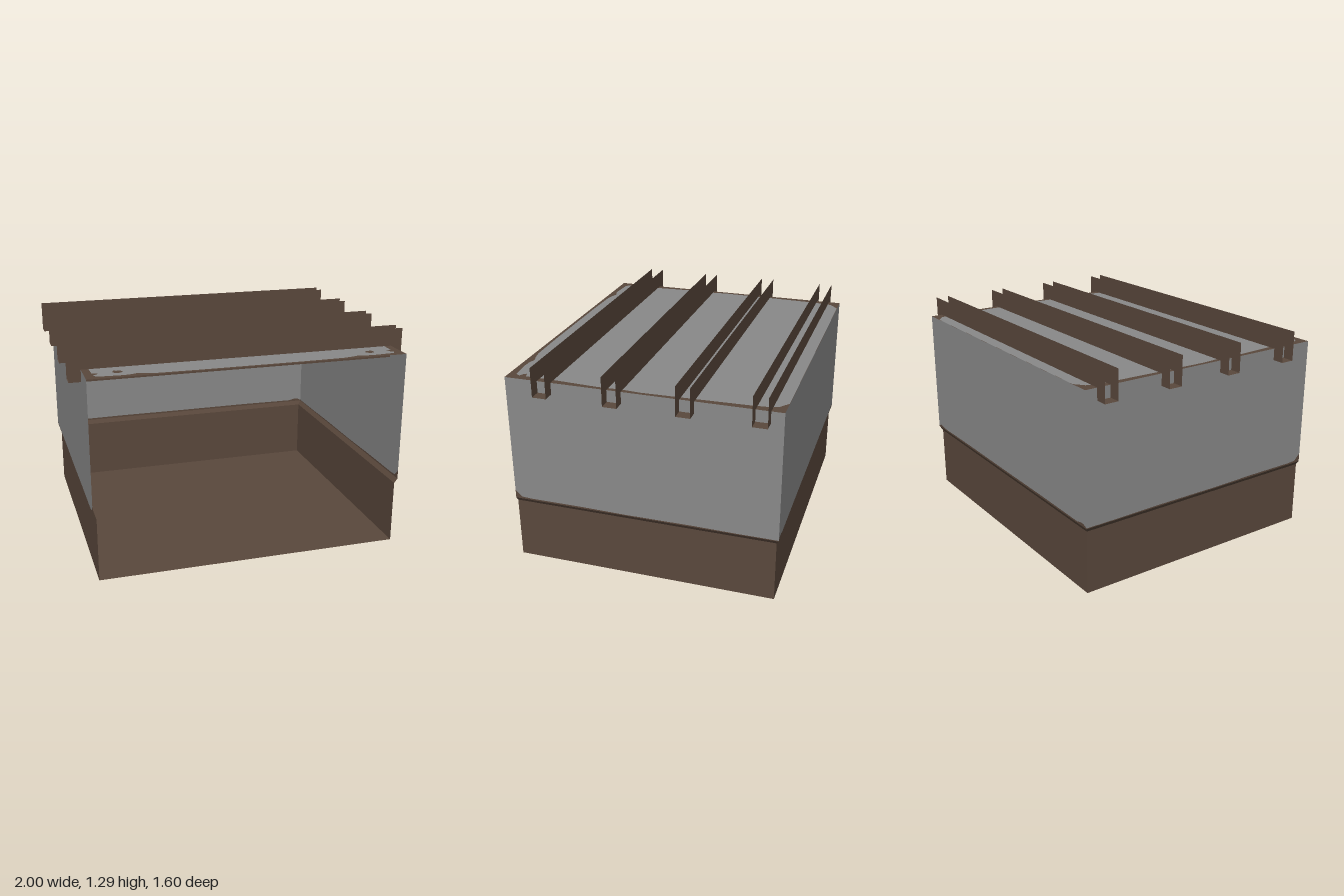
import * as THREE from 'three';

const grey = new THREE.MeshStandardMaterial({ color: 0x898989, side: THREE.DoubleSide });
grey.name = 'plaster grey';
const brown = new THREE.MeshStandardMaterial({ color: 0x5a483c, side: THREE.DoubleSide });
brown.name = 'earth brown';

// Left half of the wall run, front corner to middle of back: [x share, z, wear height]
const halfRun = [
  [1, 0.8, 0.46], [1, 0.785, 0.445], [1, 0.76, 0.42], [1, 0.7, 0.416], [1, 0.4, 0.417],
  [1, 0.1, 0.413], [1, -0.3, 0.415], [1, -0.55, 0.412], [1, -0.8, 0.412],
  [0.97, -0.8, 0.425], [0.94, -0.8, 0.425], [0.9, -0.8, 0.416], [0.5, -0.8, 0.419], [0, -0.8, 0.418],
];
const run = [...halfRun, ...halfRun.slice(0, -1).reverse().map(([u, z, h]) => [-u, z, h])];

// One row of points along the three walls; y = null follows the worn paint edge
const row = (halfX, backZ, y) =>
  run.map(([u, z, h]) => [u * halfX, Math.max(z, backZ), y ?? h]);

// Wall band between two rows
function band(name, lower, upper, material) {
  const pos = [];
  const put = (...pts) => pts.forEach(([x, z, y]) => pos.push(x, y, z));
  for (let i = 0; i < lower.length - 1; i++) {
    put(lower[i], lower[i + 1], upper[i + 1], lower[i], upper[i + 1], upper[i]);
  }
  const geo = new THREE.BufferGeometry();
  geo.setAttribute('position', new THREE.Float32BufferAttribute(pos, 3));
  geo.computeVertexNormals();
  return named(new THREE.Mesh(geo, material), name);
}

function named(object, name) {
  object.name = name;
  return object;
}

// Flat panel lying at height y, from a shape drawn in x and -z
function flat(name, shape, y, material) {
  const geo = new THREE.ShapeGeometry(shape);
  geo.rotateX(-Math.PI / 2);
  geo.translate(0, y, 0);
  return named(new THREE.Mesh(geo, material), name);
}

const outline = (pts) => pts.map(([x, z]) => new THREE.Vector2(x, -z));
const rect = (x, z0, z1) => outline([[-x, z1], [x, z1], [x, z0], [-x, z0]]);

function createModel() {
  const group = named(new THREE.Group(), 'openRoom');
  const roofY = 1.19;

  // Floor and walls, open at the front
  group.add(flat('floor', new THREE.Shape(rect(0.91, -0.785, 0.8)), 0, brown));
  const base = row(0.91, -0.785, 0);
  const baseTop = row(0.91, -0.785, 0.38);
  const ledge = row(0.93, -0.8, 0.407);
  const wear = row(0.93, -0.8, null);
  const top = row(0.93, -0.8, roofY);
  group.add(
    band('lowerWalls', base, baseTop, brown),
    band('wallLedge', baseTop, ledge, brown),
    band('wornWallEdge', ledge, wear, brown),
    band('upperWalls', wear, top, grey),
  );

  // Roof: grey field inside a ragged brown border
  const halfField = [
    [0.3, 0.782], [0.55, 0.777], [0.61, 0.765], [0.65, 0.752], [0.69, 0.765], [0.74, 0.768],
    [0.87, 0.758], [0.885, 0.73], [0.86, 0.715], [0.85, 0.7], [0.885, 0.69], [0.89, 0.5],
    [0.905, 0.25], [0.9, 0.1], [0.908, 0], [0.9, -0.3], [0.89, -0.6], [0.88, -0.72],
    [0.865, -0.755], [0.81, -0.799],
  ];
  const field = outline([...halfField, ...halfField.map(([x, z]) => [-x, z]).reverse()]);
  const spot = (side) => outline([
    [0.725, 0.68], [0.75, 0.675], [0.765, 0.668], [0.772, 0.7], [0.765, 0.715],
    [0.745, 0.722], [0.725, 0.712], [0.715, 0.695],
  ].map(([x, z]) => [x * side, z]));

  const border = new THREE.Shape(rect(0.93, -0.8, 0.8));
  border.holes.push(new THREE.Path(field));
  const centre = new THREE.Shape(field);
  for (const side of [-1, 1]) {
    centre.holes.push(new THREE.Path(spot(side)));
    group.add(flat('roofSpot', new THREE.Shape(spot(side)), roofY, brown));
  }
  group.add(flat('roofBorder', border, roofY, brown), flat('roofField', centre, roofY, grey));

  // Roof beams: channels open at the top and ends
  const beamLow = 1.12, beamHigh = 1.295, halfWidth = 0.0415;
  for (let i = 0; i < 4; i++) {
    const beam = named(new THREE.Group(), 'roofBeam');
    for (const side of [-1, 1]) {
      const cheek = named(new THREE.Mesh(new THREE.PlaneGeometry(2, beamHigh - beamLow), brown), 'beamSide');
      cheek.position.set(0, (beamLow + beamHigh) / 2, side * halfWidth);
      if (side < 0) cheek.rotation.y = Math.PI;
      beam.add(cheek);
    }
    const bottom = named(new THREE.Mesh(new THREE.PlaneGeometry(2, halfWidth * 2), brown), 'beamBottom');
    bottom.rotation.x = Math.PI / 2;
    bottom.position.y = beamLow;
    beam.add(bottom);
    beam.position.z = -0.685 + i * 0.415;
    group.add(beam);
  }
  return group;
}

export { createModel };
